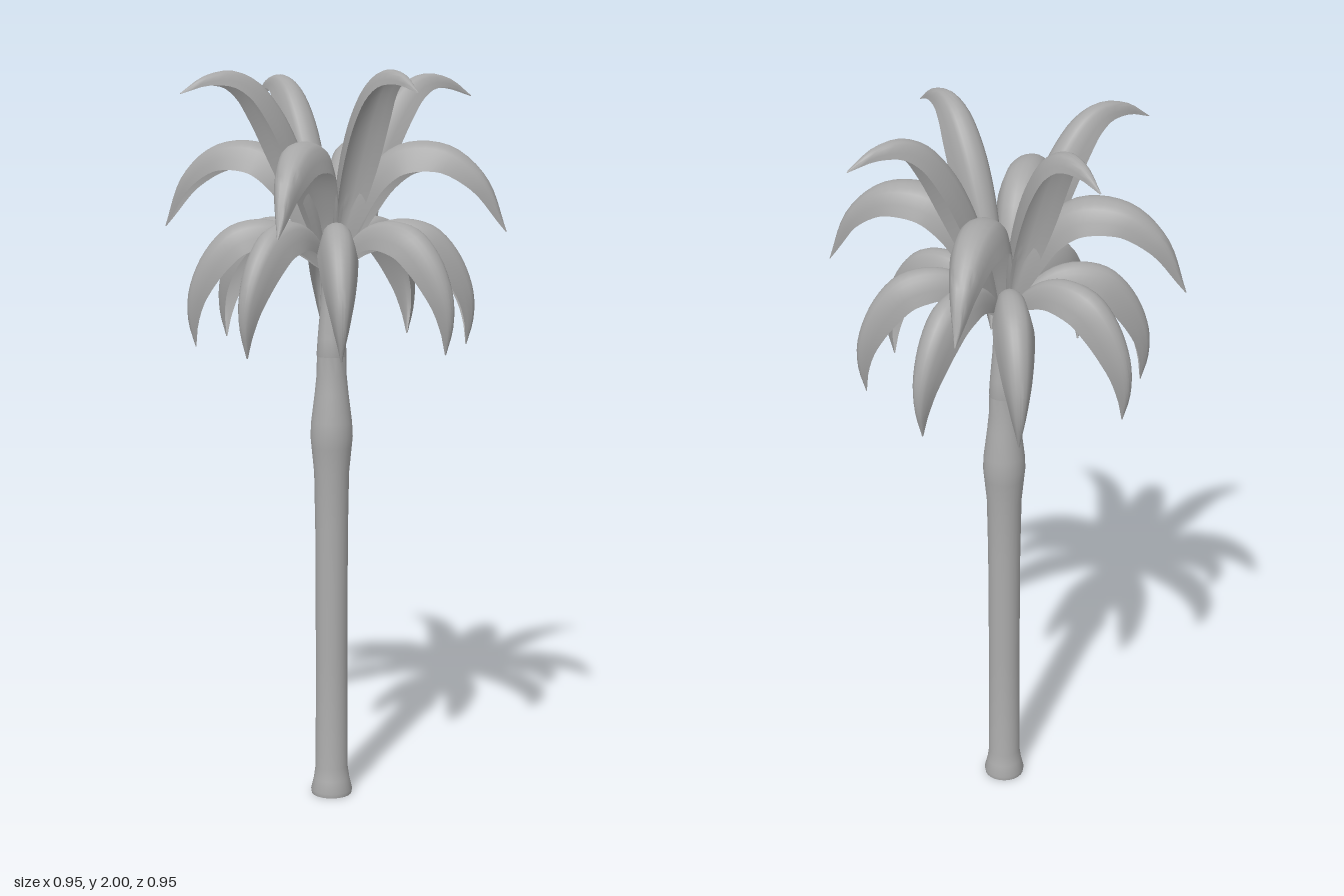
import * as THREE from 'three';
import { toCreasedNormals } from 'three/addons/utils/BufferGeometryUtils.js';

const trunkGrey = new THREE.MeshStandardMaterial({ color: 0xacacac });
trunkGrey.name = 'trunk grey';
const leafGrey = new THREE.MeshStandardMaterial({ color: 0xa6a6a6, side: THREE.DoubleSide });
leafGrey.name = 'leaf grey';

// Half cross-section of a frond: gentle crown, crease, steep folded side (sideways, drop)
const HALF = [[0, 0], [0.25, -0.03], [0.48, -0.11], [0.66, -0.24], [0.85, -0.62], [1, -1]];
const SECTION = [...HALF.slice(1).reverse().map(([a, b]) => [-a, b]), ...HALF];

// Arched frond swept along a spine of [radius, height] points, pointing to +x
function frondGeometry(spine, width, drop) {
  const curve = new THREE.CatmullRomCurve3(spine.map(([r, y]) => new THREE.Vector3(r, y, 0)));
  const steps = 28, n = SECTION.length, pos = [], index = [];
  for (let i = 0; i <= steps; i++) {
    const t = i / steps;
    const p = curve.getPointAt(t), d = curve.getTangentAt(t);
    // narrow stalk, full middle, rounded point
    const fullness = 0.14 * (1 - t) + 0.9 * Math.pow(Math.sin(Math.PI * Math.pow(t, 0.95)), 0.85);
    const w = Math.max(width * fullness, 0.002), h = Math.max(drop * fullness, 0.002);
    for (const [a, b] of SECTION) pos.push(p.x - d.y * b * h, p.y + d.x * b * h, a * w);
  }
  for (let i = 0; i < steps; i++) {
    for (let j = 0; j < n - 1; j++) {
      const a = i * n + j, b = a + n;
      index.push(a, a + 1, b, b, a + 1, b + 1);
    }
  }
  const g = new THREE.BufferGeometry();
  g.setAttribute('position', new THREE.Float32BufferAttribute(pos, 3));
  g.setIndex(index);
  return toCreasedNormals(g, 0.6);
}

const TIERS = [
  { name: 'upperFrond', angles: [45, 135, 225, 315], width: 0.055, drop: 0.075,
    spine: [[0.015, 1.5], [0.05, 1.66], [0.1, 1.8], [0.155, 1.9], [0.22, 1.97], [0.29, 1.998], [0.37, 1.985], [0.44, 1.94]] },
  { name: 'middleFrond', angles: [0, 90, 180, 270], width: 0.07, drop: 0.085,
    spine: [[0.015, 1.5], [0.05, 1.63], [0.1, 1.74], [0.17, 1.803], [0.25, 1.82], [0.34, 1.8], [0.425, 1.72], [0.477, 1.585]] },
  { name: 'lowerFrond', angles: [20, 70, 110, 160, 200, 250, 290, 340], width: 0.054, drop: 0.085,
    spine: [[0.015, 1.48], [0.06, 1.55], [0.13, 1.6], [0.2, 1.612], [0.28, 1.59], [0.345, 1.52], [0.385, 1.42], [0.387, 1.34], [0.368, 1.27]] },
];

// Smooth turned part from [radius, height] points
function turned(name, points) {
  const geo = new THREE.LatheGeometry(points.map(([r, y]) => new THREE.Vector2(r, y)), 24);
  const mesh = new THREE.Mesh(toCreasedNormals(geo, 0.7), trunkGrey);
  mesh.name = name;
  return mesh;
}

export function createModel() {
  const palm = new THREE.Group();
  palm.name = 'palmTree';

  // Trunk with flared foot and swollen collar
  palm.add(turned('trunk', [
    [0, 0.012], [0.018, 0.01], [0.03, 0], [0.056, 0], [0.058, 0.012], [0.05, 0.045], [0.045, 0.08],
    [0.044, 0.4], [0.045, 0.75], [0.048, 0.92], [0.055, 0.99], [0.058, 1.02], [0.056, 1.06],
    [0.046, 1.14], [0.041, 1.19], [0.04, 1.245], [0, 1.25],
  ]));

  // Slim shaft that carries the crown
  palm.add(turned('crownShaft', [
    [0.036, 1.22], [0.041, 1.245], [0.038, 1.29], [0.031, 1.37], [0.027, 1.46],
    [0.031, 1.51], [0.026, 1.55], [0.012, 1.58], [0, 1.585],
  ]));

  // Three tiers of drooping fronds
  for (const { name, angles, width, drop, spine } of TIERS) {
    const geo = frondGeometry(spine, width, drop);
    angles.forEach((deg, i) => {
      const frond = new THREE.Mesh(geo, leafGrey);
      frond.name = `${name}${i + 1}`;
      frond.rotation.y = THREE.MathUtils.degToRad(deg);
      palm.add(frond);
    });
  }
  return palm;
}
